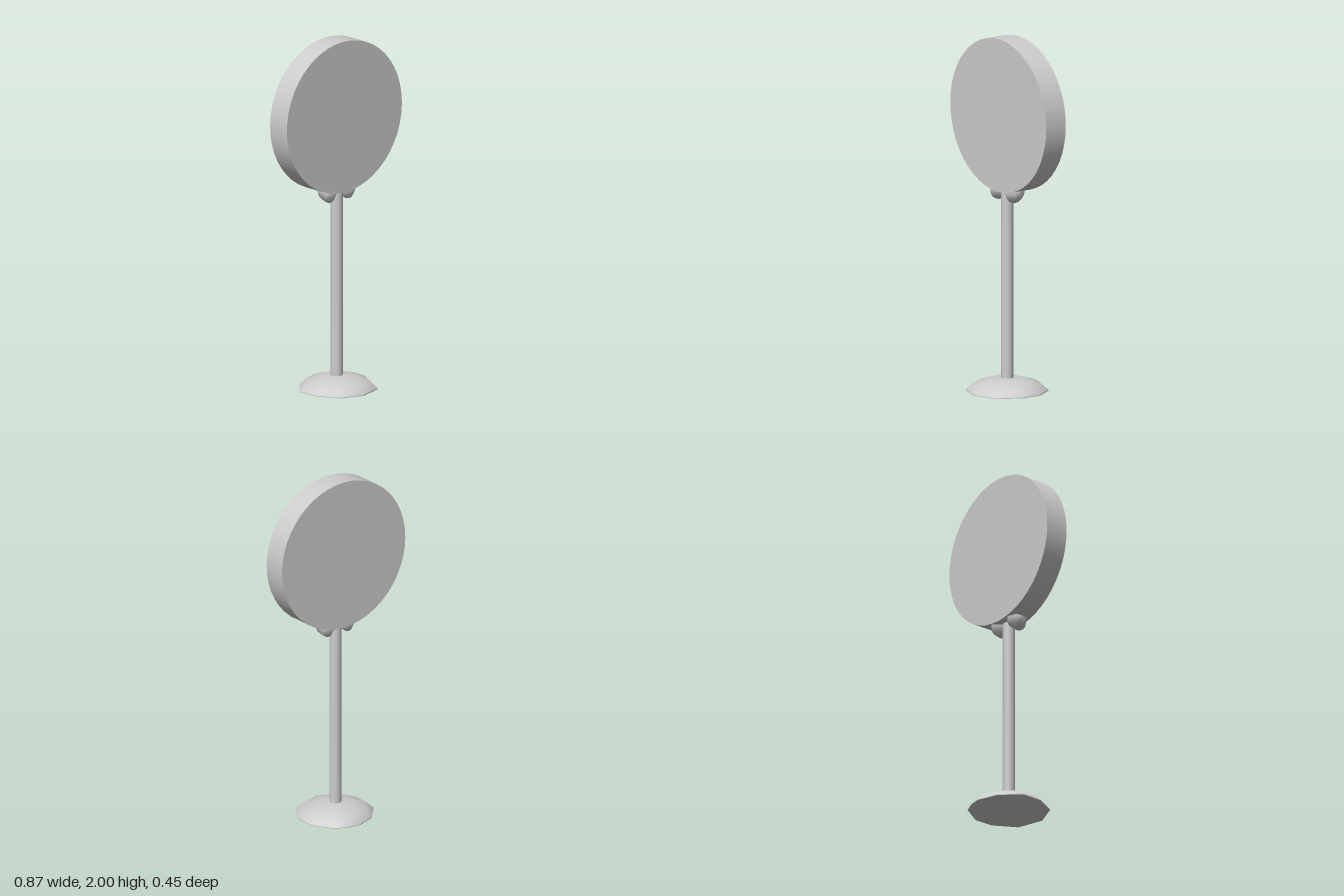
import * as THREE from 'three';

const grey = new THREE.MeshStandardMaterial({ color: 0xcccccc });
grey.name = 'grey';

function addPart(parent, name, geometry, x = 0, y = 0, z = 0) {
  const mesh = new THREE.Mesh(geometry, grey);
  mesh.name = name;
  mesh.position.set(x, y, z);
  parent.add(mesh);
  return mesh;
}

// Irregular foot outline [x, z], running from the left side round the front
const outline = [
  [0.214, 0.04], [0.14, 0.175], [-0.01, 0.222], [-0.145, 0.17], [-0.212, 0.045],
  [-0.212, -0.075], [-0.12, -0.18], [0, -0.225], [0.07, -0.215], [0.14, -0.185], [0.214, -0.07],
];

// Shallow dome: shrunken copies of the outline joined in rings up to a centre point
function domeGeometry() {
  const rings = [[1, 0.005], [0.82, 0.044], [0.45, 0.07]]; // scale, height
  const n = outline.length, pos = [], index = [];
  for (const [s, y] of rings) for (const [x, z] of outline) pos.push(x * s, y, z * s);
  pos.push(0, 0.077, 0);
  const top = rings.length * n;
  for (let r = 0; r < rings.length; r++) {
    for (let i = 0; i < n; i++) {
      const a = r * n + i, b = r * n + (i + 1) % n;
      if (r === rings.length - 1) index.push(a, top, b);
      else index.push(a, a + n, b, b, a + n, b + n);
    }
  }
  const g = new THREE.BufferGeometry();
  g.setAttribute('position', new THREE.Float32BufferAttribute(pos, 3));
  g.setIndex(index);
  g.computeVertexNormals();
  return g;
}

export function createModel() {
  const model = new THREE.Group();
  model.name = 'roundSignOnPole';

  // Foot: dome over a thin flat underside
  const foot = new THREE.Group();
  foot.name = 'foot';
  model.add(foot);
  addPart(foot, 'footDome', domeGeometry());
  const shape = new THREE.Shape(outline.map(([x, z]) => new THREE.Vector2(x, z)));
  const sole = new THREE.ExtrudeGeometry(shape, { depth: 0.005, bevelEnabled: false });
  sole.rotateX(Math.PI / 2);
  addPart(foot, 'footSole', sole, 0, 0.005, 0).scale.z = 1;

  // Pole
  addPart(model, 'pole', new THREE.CylinderGeometry(0.034, 0.034, 1.12, 24), 0, 0.6, -0.006);

  // Round sign disc
  const disc = new THREE.CylinderGeometry(0.433, 0.433, 0.137, 48);
  disc.rotateX(Math.PI / 2);
  addPart(model, 'disc', disc, 0, 1.567, -0.0115);

  // Pair of faceted knobs gripping the lower rim
  const profile = [[0, -0.044], [0.036, -0.04], [0.067, 0], [0.036, 0.04], [0, 0.044]]
    .map(([r, h]) => new THREE.Vector2(r, h));
  for (const side of [1, -1]) {
    const knob = new THREE.LatheGeometry(profile, 16);
    knob.rotateZ(Math.PI / 2);
    addPart(model, side > 0 ? 'leftKnob' : 'rightKnob', knob, side * 0.07, 1.141, -0.006);
  }
  return model;
}
